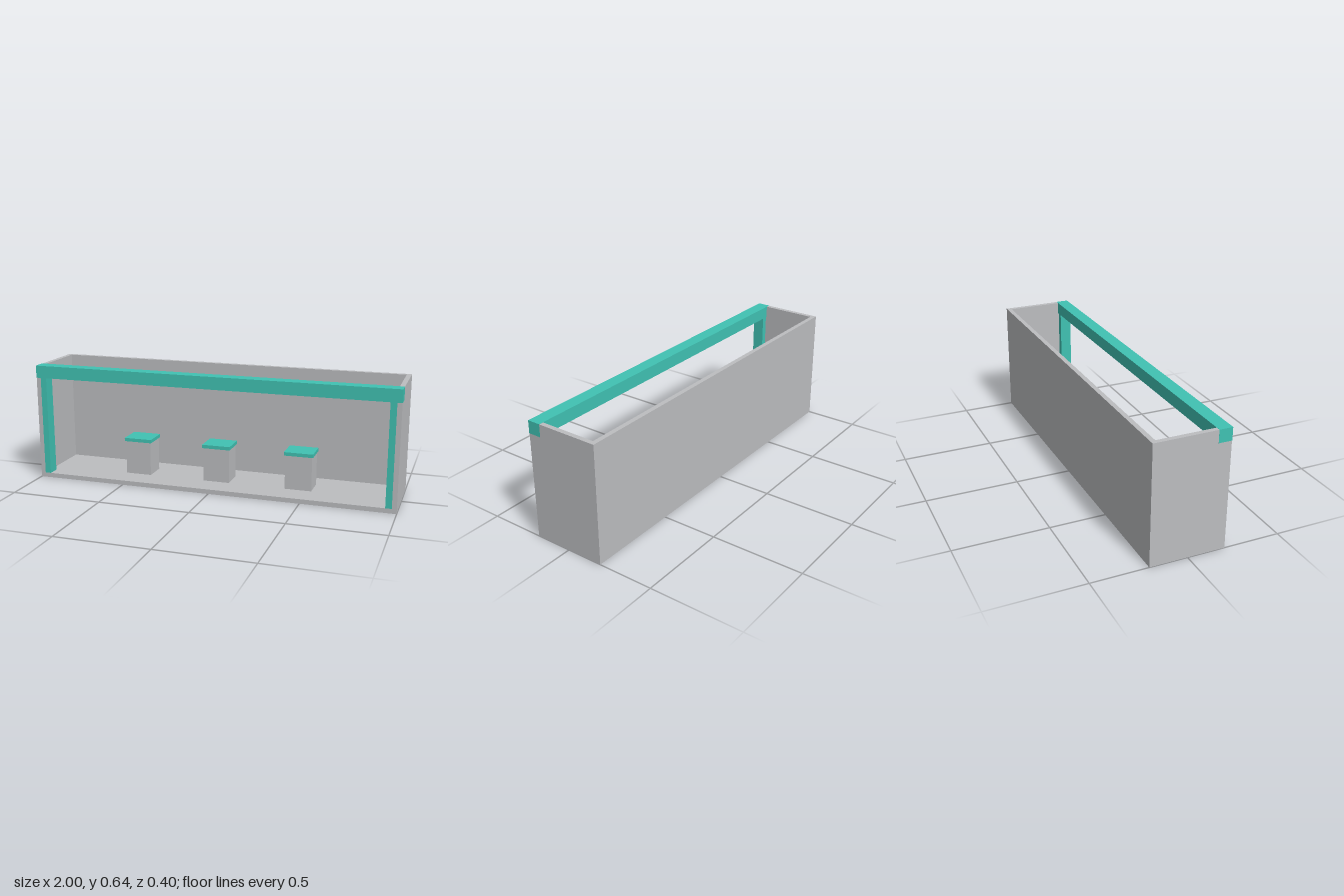
import * as THREE from 'three';

export function createModel() {
  const grey = new THREE.MeshStandardMaterial({ color: 0xbcbdc0 });
  grey.name = 'light grey';
  const teal = new THREE.MeshStandardMaterial({ color: 0x40c2b3 });
  teal.name = 'teal';

  const model = new THREE.Group();
  model.name = 'displayBooth';

  // Adds a box given by its lowest and highest corners
  function box(name, material, [x0, y0, z0], [x1, y1, z1], parent = model) {
    const mesh = new THREE.Mesh(new THREE.BoxGeometry(x1 - x0, y1 - y0, z1 - z0), material);
    mesh.position.set((x0 + x1) / 2, (y0 + y1) / 2, (z0 + z1) / 2);
    mesh.name = name;
    parent.add(mesh);
  }

  const T = 0.025, H = 0.64, D = 0.2;

  // Shell, open at the front and top
  box('floor', grey, [-1, 0, -D], [1, T, D]);
  box('backWall', grey, [-1 + T, T, -D], [1 - T, H, -D + T]);

  for (const [side, s] of [['left', 1], ['right', -1]]) {
    const span = (a, b) => (s > 0 ? [a, b] : [-b, -a]);
    const [w0, w1] = span(1 - T, 1);
    box(side + 'Wall', grey, [w0, T, -D], [w1, H, D]);
    // Post against the inside of the wall
    const [p0, p1] = span(0.942, 1 - T);
    box(side + 'Post', teal, [p0, T, 0.135], [p1, 0.573, D]);
  }

  // Front beam, wrapping the wall tops by a hair
  box('frontBeam', teal, [-1.0005, 0.573, 0.131], [1.0005, H + 0.0008, D + 0.0015]);

  // Counter stools with overhanging tops
  for (const x of [-0.46, 0, 0.46]) {
    const stool = new THREE.Group();
    stool.name = 'pedestal';
    stool.position.x = x;
    box('pedestalBody', grey, [-0.073, T, -0.066], [0.073, 0.212, 0.06], stool);
    box('pedestalTop', teal, [-0.079, 0.212, -0.072], [0.079, 0.231, 0.066], stool);
    model.add(stool);
  }
  return model;
}
